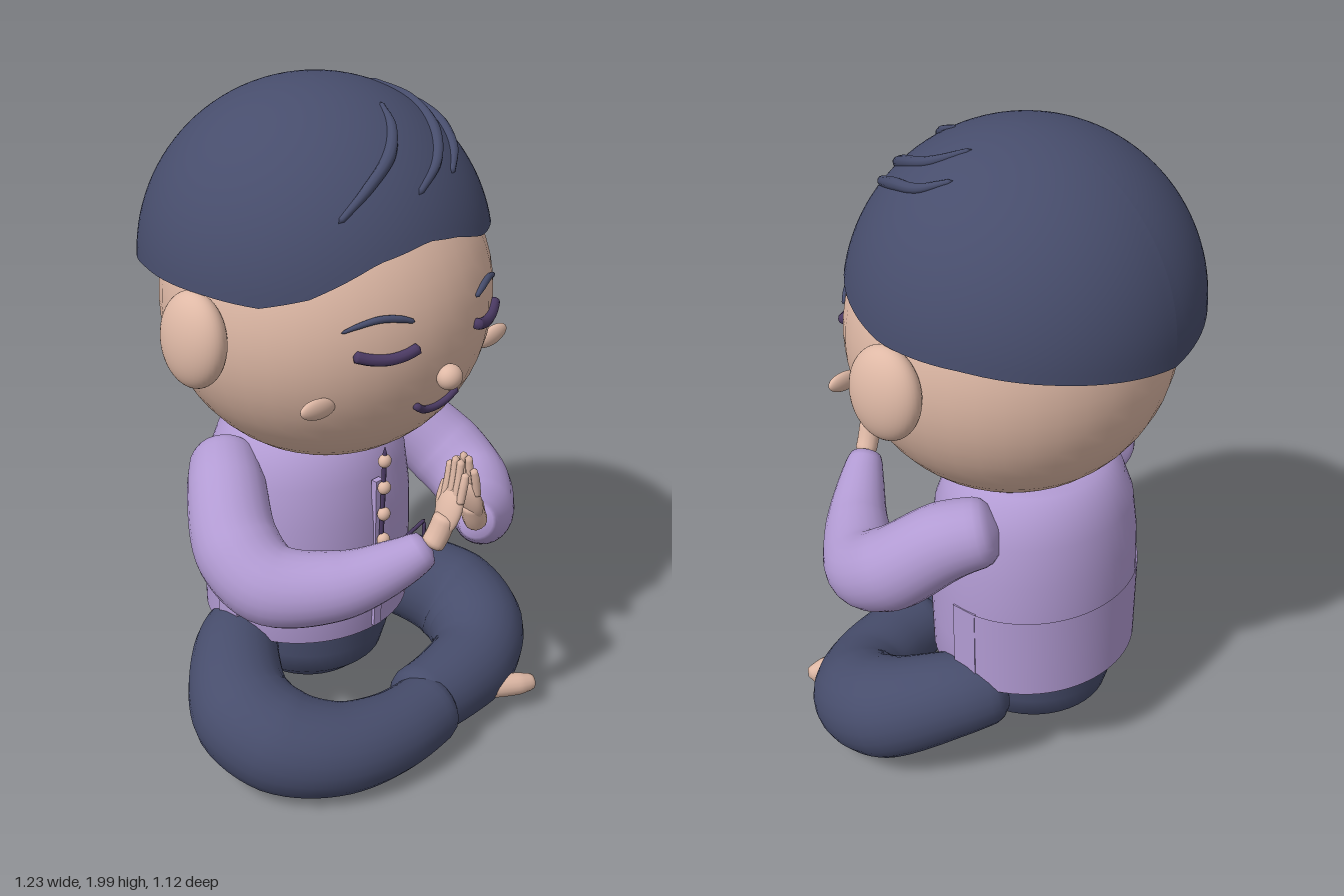
import * as THREE from 'three';
import { mergeVertices } from 'three/addons/utils/BufferGeometryUtils.js';

const material = (name, color, side = THREE.FrontSide) => {
  const m = new THREE.MeshStandardMaterial({ color, side });
  m.name = name;
  return m;
};

export function createModel() {
  const group = new THREE.Group();
  const skin = material('skin', 0xdfb9a6);
  const navy = material('navy', 0x474d6c);
  const lavender = material('lavender', 0xb29bd3, THREE.DoubleSide);
  const plum = material('plum', 0x4b3a63);

  const add = (name, geometry, mat, x = 0, y = 0, z = 0) => {
    const mesh = new THREE.Mesh(geometry, mat);
    mesh.name = name;
    mesh.position.set(x, y, z);
    group.add(mesh);
    return mesh;
  };

  const ellipsoid = (name, mat, p, r, tilt = 0) => {
    const mesh = add(name, new THREE.SphereGeometry(1, 40, 28), mat, ...p);
    mesh.scale.set(...r);
    mesh.rotation.z = tilt;
    return mesh;
  };

  // Smooth tube through points of [x, y, z, radius], with rounded ends
  const limb = (name, mat, pts, segs = 48, sides = 24) => {
    const curve = new THREE.CatmullRomCurve3(pts.map((p) => new THREE.Vector3(p[0], p[1], p[2])));
    const g = new THREE.TubeGeometry(curve, segs, 1, sides, false);
    const pos = g.attributes.position;
    const v = new THREE.Vector3();
    const length = curve.getLength();
    for (let i = 0; i <= segs; i++) {
      const u = i / segs;
      const c = curve.getPointAt(u);
      const t = curve.getUtoTmapping(u) * (pts.length - 1);
      const k = Math.min(Math.floor(t), pts.length - 2);
      let r = THREE.MathUtils.lerp(pts[k][3], pts[k + 1][3], t - k);
      const fromEnd = Math.min(u, 1 - u) * length / (r * 0.6);
      if (fromEnd < 1) r *= Math.sqrt(Math.max(0, 1 - (1 - fromEnd) ** 2));
      for (let j = 0; j <= sides; j++) {
        const n = i * (sides + 1) + j;
        v.fromBufferAttribute(pos, n).sub(c).multiplyScalar(r).add(c);
        pos.setXYZ(n, v.x, v.y, v.z);
      }
    }
    g.deleteAttribute('uv');
    g.deleteAttribute('normal');
    const smooth = mergeVertices(g, 1e-5);
    smooth.computeVertexNormals();
    return add(name, smooth, mat);
  };

  // Head, ears and nose
  const faceZ = (x, y) => -0.015 + Math.sqrt(0.475 ** 2 - x * x - (y - 1.395) ** 2);
  const onFace = (x, y, r, lift = 0.006) => [x, y, faceZ(x, y) + lift, r];
  ellipsoid('head', skin, [0, 1.395, -0.015], [0.475, 0.475, 0.475]);
  ellipsoid('nose', skin, [0, 1.278, 0.462], [0.038, 0.036, 0.034]);
  limb('mouth', plum, [[-0.085, 1.205], [-0.045, 1.178], [0, 1.17], [0.045, 1.178], [0.085, 1.205]]
    .map(([x, y]) => onFace(x, y, 0.011)), 24, 10);
  for (const s of [-1, 1]) {
    ellipsoid('ear', skin, [s * 0.505, 1.397, 0.005], [0.066, 0.134, 0.115], s * 0.08);
    ellipsoid('cheek', skin, [s * 0.348, 1.248, 0.315], [0.062, 0.029, 0.018], s * 0.15);
    limb('closedEye', plum, [[0.11, 1.397], [0.15, 1.383], [0.195, 1.377], [0.24, 1.383], [0.28, 1.397]]
      .map(([x, y]) => onFace(s * x, y, 0.016)), 24, 10);
    limb('eyebrow', navy, [[0.12, 1.468, 0.006], [0.16, 1.482, 0.01], [0.21, 1.488, 0.01], [0.26, 1.477, 0.008], [0.3, 1.46, 0.004]]
      .map(([x, y, r]) => onFace(s * x, y, r, 0.003)), 24, 10);
  }

  // Hair cap with a wavy lower edge: [angle from the front, edge height]
  const edge = [[-180, 1.45], [-140, 1.5], [-110, 1.53], [-80, 1.53], [-60, 1.52], [-45, 1.55], [-24, 1.63], [-5, 1.66],
    [8, 1.645], [24, 1.608], [40, 1.6], [55, 1.575], [80, 1.535], [110, 1.53], [140, 1.5], [180, 1.45]];
  const edgeHeight = (deg) => {
    let i = 0;
    while (i < edge.length - 2 && deg > edge[i + 1][0]) i++;
    const [a, ya] = edge[i];
    const [b, yb] = edge[i + 1];
    return THREE.MathUtils.lerp(ya, yb, (deg - a) / (b - a));
  };
  const rows = 28;
  const cols = 96;
  const verts = [];
  const index = [];
  for (let i = 0; i <= rows + 2; i++) {
    for (let j = 0; j <= cols; j++) {
      const deg = -180 + (360 * j) / cols;
      const a = THREE.MathUtils.degToRad(deg);
      const low = Math.acos((edgeHeight(deg) - 1.5) / 0.5);
      const phi = low * Math.min(i / rows, 1);
      let r = phi > Math.PI / 2 ? 1 : Math.sin(phi);
      if (i === rows + 2) r *= 0.86;
      verts.push(0.505 * r * Math.sin(a), 1.5 + 0.5 * Math.cos(phi), -0.06 + 0.5 * r * Math.cos(a));
      if (i < rows + 2 && j < cols) {
        const p = i * (cols + 1) + j;
        const q = p + cols + 1;
        index.push(p, q, q + 1, p, q + 1, p + 1);
      }
    }
  }
  const hair = new THREE.BufferGeometry();
  hair.setAttribute('position', new THREE.Float32BufferAttribute(verts, 3));
  hair.setIndex(index);
  hair.computeVertexNormals();
  add('hair', hair, navy);

  // Raised locks sweeping over the hair
  const locks = [
    [[-0.26, 0.3], [-0.16, 0.305], [-0.06, 0.28], [0.01, 0.22], [0.05, 0.14]],
    [[-0.03, 0.36], [0.09, 0.31], [0.18, 0.21], [0.22, 0.08], [0.17, -0.02]],
    [[0.13, 0.33], [0.21, 0.26], [0.27, 0.16], [0.3, 0.05], [0.27, -0.04]],
  ];
  for (const lock of locks) {
    limb('hairLock', navy, lock.map(([x, z], i) => [x,
      1.5 + 0.5 * Math.sqrt(1 - (x / 0.505) ** 2 - ((z + 0.06) / 0.5) ** 2), z,
      [0.008, 0.015, 0.018, 0.014, 0.006][i]]), 36, 10);
  }

  // Shirt body, back panel and side vents
  const profile = [[0, 0.37], [0.31, 0.36], [0.325, 0.35], [0.328, 0.48], [0.33, 0.62], [0.326, 0.74], [0.31, 0.86],
    [0.28, 0.94], [0.235, 0.99], [0.19, 1.0], [0, 1.0]].map(([x, y]) => new THREE.Vector2(x, y));
  add('shirt', new THREE.LatheGeometry(profile, 64), lavender, 0, 0, -0.1).scale.z = 0.92;
  add('shirtBackPanel', new THREE.CylinderGeometry(0.335, 0.332, 0.27, 48, 1, true, Math.PI * 0.54, Math.PI * 0.92),
    lavender, 0, 0.485, -0.1).scale.z = 0.92;
  for (const s of [-1, 1]) {
    add('sideVent', new THREE.BoxGeometry(0.02, 0.27, 0.08), lavender, s * 0.323, 0.485, -0.1);
  }

  // Placket, buttons and pocket trims
  add('placket', new THREE.BoxGeometry(0.03, 0.5, 0.02), lavender, 0, 0.61, 0.2);
  limb('placketTrim', plum, [[0, 0.56, 0.215, 0.007], [0, 0.76, 0.222, 0.007], [0, 0.98, 0.228, 0.007]], 16, 8);
  for (let i = 0; i < 5; i++) {
    ellipsoid('button', skin, [0, 0.58 + i * 0.088, 0.228], [0.021, 0.021, 0.018]);
  }
  for (const s of [-1, 1]) {
    const trim = (pts) => limb('pocketTrim', plum, pts.map(([x, y, z]) => [s * x, y, z, 0.006]), 10, 8);
    trim([[0.11, 0.625, 0.215], [0.165, 0.63, 0.205], [0.218, 0.635, 0.195]]);
    trim([[0.13, 0.545, 0.215], [0.175, 0.543, 0.205], [0.218, 0.542, 0.195]]);
    trim([[0.215, 0.63, 0.195], [0.215, 0.59, 0.195], [0.215, 0.545, 0.195]]);
  }

  // Arms bent inward with palms pressed together
  for (const s of [-1, 1]) {
    limb('sleeve', lavender, [[0.26, 0.91, -0.18, 0.095], [0.355, 0.865, -0.06, 0.115], [0.435, 0.75, 0.08, 0.125],
      [0.425, 0.69, 0.2, 0.118], [0.3, 0.7, 0.35, 0.098], [0.17, 0.76, 0.45, 0.07], [0.09, 0.81, 0.5, 0.048]]
      .map(([x, y, z, r]) => [s * x, y, z, r]));
    limb('wrist', skin, [[0.1, 0.8, 0.5, 0.034], [0.075, 0.84, 0.507, 0.034], [0.05, 0.9, 0.515, 0.034]]
      .map(([x, y, z, r]) => [s * x, y, z, r]), 16, 14);
    ellipsoid('palm', skin, [s * 0.042, 0.91, 0.515], [0.024, 0.078, 0.043], s * 0.38);
    for (let i = 0; i < 4; i++) {
      const z = 0.49 + i * 0.019;
      const tip = [1.045, 1.065, 1.06, 1.025][i];
      limb('finger', skin, [[s * 0.036, 0.93, z, 0.012], [s * 0.024, 0.99, z + 0.002, 0.012], [s * 0.015, tip, z, 0.01]], 14, 10);
    }
    limb('thumb', skin, [[s * 0.048, 0.88, 0.49, 0.015], [s * 0.035, 0.93, 0.478, 0.014], [s * 0.02, 0.985, 0.48, 0.01]], 14, 10);
  }

  // Trousers: seat and crossed legs
  const seat = [[0, 0.11], [0.1, 0.115], [0.18, 0.14], [0.235, 0.19], [0.255, 0.26], [0.26, 0.42]]
    .map(([x, y]) => new THREE.Vector2(x, y));
  add('seat', new THREE.LatheGeometry(seat, 48), navy, 0, 0, -0.1);
  const thigh = [[0.2, 0.295, -0.16, 0.11], [0.34, 0.28, -0.06, 0.132], [0.455, 0.215, 0.11, 0.158]];
  limb('rightLeg', navy, [...thigh.map(([x, y, z, r]) => [-x, y, z, r]), [-0.43, 0.17, 0.24, 0.156],
    [-0.32, 0.143, 0.35, 0.138], [-0.15, 0.135, 0.405, 0.122], [0.09, 0.135, 0.4, 0.108]]);
  limb('leftLeg', navy, [...thigh, [0.43, 0.17, 0.24, 0.156],
    [0.32, 0.143, 0.33, 0.138], [0.17, 0.14, 0.365, 0.125], [-0.04, 0.14, 0.37, 0.11]]);

  // Bare feet
  limb('rightFoot', skin, [[0.2, 0.12, 0.4, 0.035], [0.3, 0.105, 0.455, 0.037], [0.36, 0.098, 0.485, 0.035], [0.415, 0.09, 0.505, 0.024]], 24, 16);
  limb('leftFoot', skin, [[0.02, 0.12, 0.33, 0.035], [-0.05, 0.11, 0.32, 0.035], [-0.12, 0.1, 0.34, 0.025]], 20, 16);

  return group;
}
